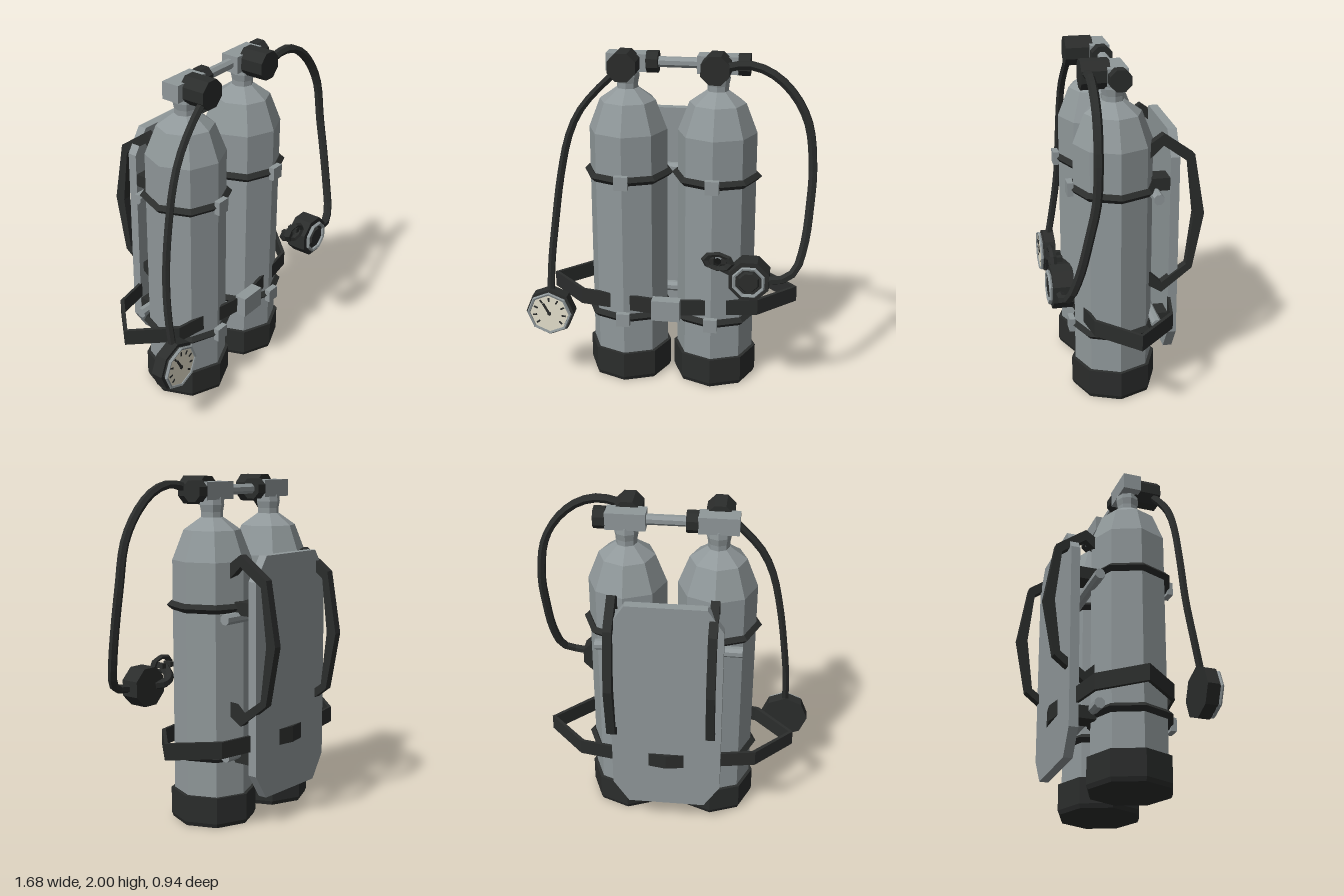
import * as THREE from 'three';

const mat = (color) => new THREE.MeshStandardMaterial({ color, flatShading: true, side: THREE.DoubleSide });
const V = (p) => new THREE.Vector3(...p);

export function createModel() {
  const root = new THREE.Group();
  const grey = mat(0x90989a), dark = mat(0x2b2d2c), cream = mat(0xe8e3cf);
  const TZ = 0.045, TX = 0.26, EIGHTH = Math.PI / 8;

  const add = (name, geo, material, x = 0, y = 0, z = 0, parent = root) => {
    const m = new THREE.Mesh(geo, material);
    m.name = name;
    m.position.set(x, y, z);
    parent.add(m);
    return m;
  };
  const box = (w, h, d) => new THREE.BoxGeometry(w, h, d);
  // Octagonal discs along z or x, with a flat side up when turned by EIGHTH
  const discZ = (r, d, turn = 0, r2 = r) =>
    new THREE.CylinderGeometry(r2, r, d, 8).rotateY(turn).rotateX(Math.PI / 2);
  const discX = (r, d) =>
    new THREE.CylinderGeometry(r, r, d, 8).rotateY(EIGHTH).rotateZ(Math.PI / 2);
  const lathe = (pts) => new THREE.LatheGeometry(pts.map(([r, y]) => new THREE.Vector2(r, y)), 8);
  const hose = (pts, r, n) =>
    new THREE.TubeGeometry(new THREE.CatmullRomCurve3(pts.map(V)), n, r, 6, false);

  // Twin tanks with everything that repeats on each
  for (const s of [-1, 1]) {
    const side = s > 0 ? 'left' : 'right';
    const x = s * TX;
    add(side + 'Tank', lathe([[0, 0.1], [0.229, 0.1], [0.229, 1.53], [0.163, 1.7], [0.065, 1.77], [0, 1.77]]),
      grey, x, 0, TZ);
    add(side + 'TankBoot', lathe([[0, 0], [0.24, 0], [0.25, 0.025], [0.25, 0.18], [0, 0.18]]), dark, x, 0, TZ);
    add(side + 'Neck', lathe([[0, 1.75], [0.062, 1.75], [0.062, 1.8], [0.07, 1.84], [0.066, 1.88], [0, 1.88]]),
      grey, x, 0, TZ);
    add(side + 'ValveBlock', box(0.23, 0.1, 0.11), grey, x, 1.92, 0.037);
    add(side + 'ValveKnob', discX(0.064, 0.068), dark, x + 0.147, 1.92, TZ - 0.008);
    add(side + 'FirstStage', discZ(0.086, 0.16, EIGHTH), dark, x, 1.92, 0.152);

    // Bands, buckles and spacers to the back plate
    for (const y of [1.272, 0.415]) {
      add(side + 'TankBand', new THREE.TorusGeometry(0.237, 0.026, 4, 8).rotateX(Math.PI / 2), dark, x, y, TZ);
      add(side + 'BandBuckle', box(0.08, 0.08, 0.035), grey, x, y, 0.295);
      add(side + 'PlateSpacer', box(0.12, 0.075, 0.11), dark, x, y, -0.225);
    }
  }
  add('manifoldBar', discX(0.031, 0.26), grey, 0.03, 1.92, TZ - 0.008);

  // Cross rails behind the tanks
  for (const y of [1.222, 0.435]) add('crossRail', discX(0.032, 0.85), grey, 0, y, -0.185);

  // Back plate with cut corners
  const plate = new THREE.Shape([[-0.23, 0.175], [0.23, 0.175], [0.324, 0.32], [0.324, 1.43], [0.23, 1.57],
    [-0.23, 1.57], [-0.324, 1.43], [-0.324, 0.32]].map(([x, y]) => new THREE.Vector2(x, y)));
  add('backPlate', new THREE.ExtrudeGeometry(plate, { depth: 0.054, bevelEnabled: false }), grey, 0, 0, -0.327);

  // Shoulder straps: a bent band in the depth/height plane
  const band = new THREE.Shape([
    [0.153, 1.525], [0.227, 1.577], [0.408, 1.447], [0.472, 1.085], [0.408, 0.745], [0.227, 0.603], [0.153, 0.65],
    [0.153, 0.735], [0.227, 0.665], [0.372, 0.77], [0.41, 1.085], [0.372, 1.405], [0.227, 1.51], [0.153, 1.44],
  ].map(([d, y]) => new THREE.Vector2(d, y)));
  for (const [name, x] of [['rightShoulderStrap', -0.29], ['leftShoulderStrap', 0.29]])
    add(name, new THREE.ExtrudeGeometry(band, { depth: 0.05, bevelEnabled: false }).rotateY(Math.PI / 2), dark, x);

  // Waist belt: eight-sided oval band
  const oval = (rx, rz) => Array.from({ length: 8 }, (_, i) =>
    new THREE.Vector2(rx * Math.cos(i * Math.PI / 4), rz * Math.sin(i * Math.PI / 4)));
  const belt = new THREE.Shape(oval(0.748, 0.323));
  belt.holes.push(new THREE.Path(oval(0.722, 0.304)));
  add('waistBelt', new THREE.ExtrudeGeometry(belt, { depth: 0.095, bevelEnabled: false }).rotateX(-Math.PI / 2),
    dark, 0, 0.461, -0.023);
  add('beltBuckle', box(0.165, 0.125, 0.07), grey, 0, 0.508, 0.308);

  // Pressure gauge and its hose
  add('gaugeHose', hose([[-0.27, 1.91, 0.2], [-0.37, 1.82, 0.2], [-0.5, 1.67, 0.21], [-0.57, 1.52, 0.215],
    [-0.625, 1.28, 0.22], [-0.665, 1, 0.23], [-0.69, 0.75, 0.26], [-0.695, 0.54, 0.295]], 0.023, 18), dark);
  const gauge = new THREE.Group();
  gauge.name = 'pressureGauge';
  gauge.position.set(-0.695, 0.45, 0.26);
  root.add(gauge);
  add('gaugeCase', discZ(0.145, 0.07), dark, 0, 0, 0.035, gauge);
  add('gaugeBezel', new THREE.TorusGeometry(0.126, 0.01, 5, 8), grey, 0, 0, 0.09, gauge);
  add('gaugeRim', discZ(0.127, 0.02), dark, 0, 0, 0.076, gauge);
  add('gaugeFace', discZ(0.117, 0.006), cream, 0, 0, 0.088, gauge);
  for (let i = 0; i < 9; i++) {
    const a = -Math.PI * 0.22 + i * Math.PI * 0.18;
    add('gaugeTick', box(0.025, 0.01, 0.004), dark, 0.088 * Math.cos(a), 0.088 * Math.sin(a), 0.092, gauge)
      .rotation.z = a;
  }
  add('gaugeNeedle', box(0.014, 0.085, 0.004), dark, -0.015, 0.026, 0.094, gauge).rotation.z = 0.5;
  add('needleHub', discZ(0.012, 0.006), dark, 0, 0, 0.094, gauge);

  // Breathing regulator and its hose
  add('breathingHose', hose([[0.26, 1.92, 0.2], [0.44, 1.955, 0.205], [0.57, 1.915, 0.21], [0.69, 1.81, 0.215],
    [0.778, 1.65, 0.225], [0.813, 1.4, 0.24], [0.808, 1.2, 0.28], [0.787, 0.98, 0.33], [0.74, 0.83, 0.38],
    [0.66, 0.785, 0.41], [0.54, 0.78, 0.4]], 0.026, 26), dark);
  const reg = new THREE.Group();
  reg.name = 'regulator';
  reg.position.set(0.49, 0.78, 0.33);
  root.add(reg);
  add('regulatorCase', discZ(0.122, 0.115, EIGHTH), dark, 0, 0, 0.0575, reg);
  add('regulatorRing', new THREE.TorusGeometry(0.088, 0.011, 5, 8).rotateZ(EIGHTH), grey, 0, 0, 0.125, reg);
  add('purgeButton', discZ(0.065, 0.018, EIGHTH, 0.055), dark, 0, 0, 0.122, reg);
  add('mouthTube', hose([[0.44, 0.78, 0.35], [0.38, 0.785, 0.325], [0.33, 0.81, 0.33], [0.305, 0.86, 0.39]],
    0.03, 8), dark);
  const mouth = add('mouthpiece', new THREE.TorusGeometry(0.07, 0.022, 5, 8), dark, 0.312, 0.878, 0.41);
  mouth.scale.set(1.05, 0.64, 0.9);
  mouth.rotation.z = -0.12;
  for (const x of [0.275, 0.345]) add('biteLug', box(0.028, 0.03, 0.06), dark, x, 0.878, 0.385);
  return root;
}
